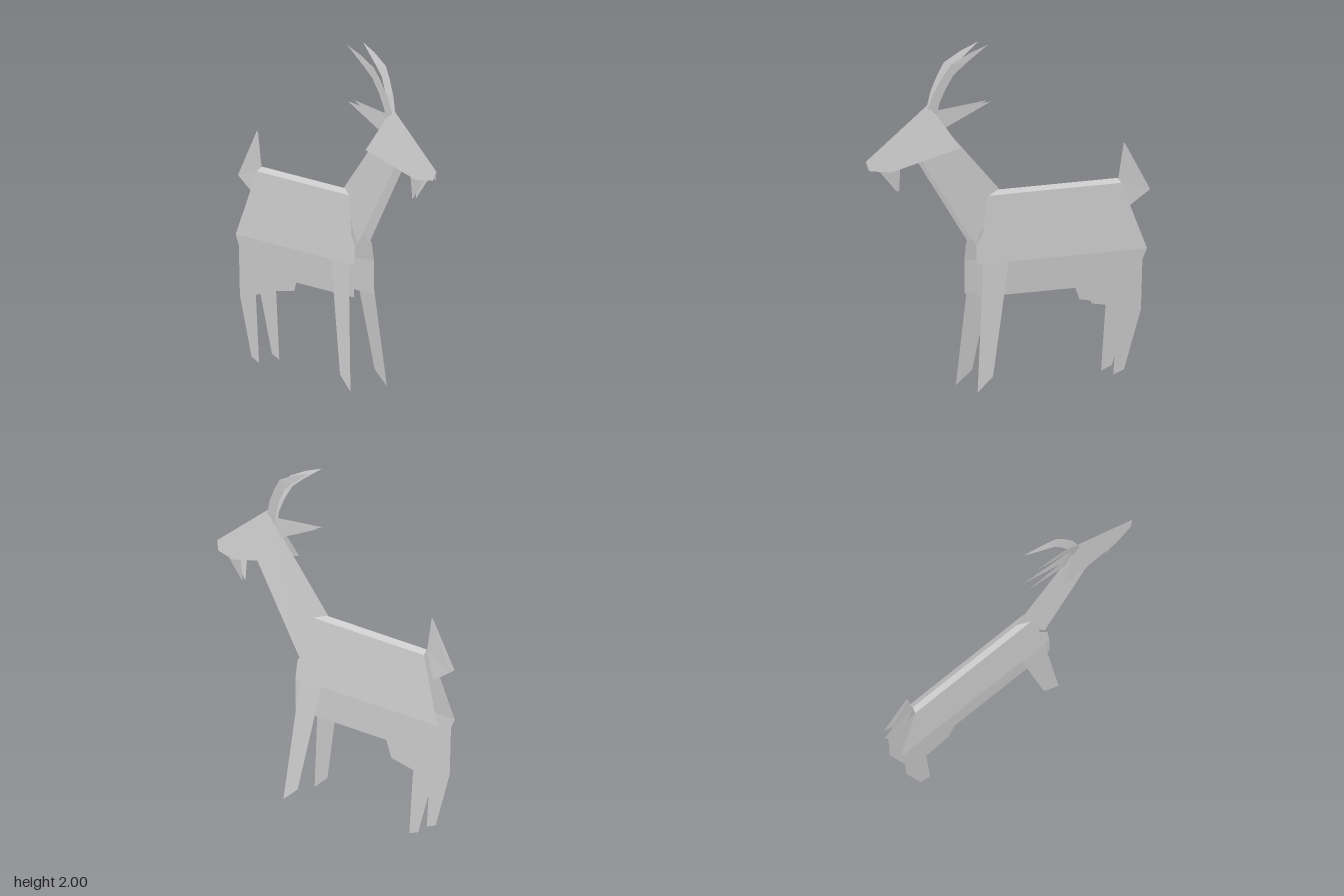
import * as THREE from 'three';

const paper = new THREE.MeshStandardMaterial({ color: 0xcccccc, side: THREE.DoubleSide, flatShading: true });
paper.name = 'plain paper';

// Flat paper panel: outline of [z, y] points, x given by a rule of (z, y, index)
function panel(outline, xRule, side) {
  const flat = outline.map(([z, y]) => new THREE.Vector2(z, y));
  const pos = [];
  for (const tri of THREE.ShapeUtils.triangulateShape(flat, [])) {
    const order = side > 0 ? [...tri].reverse() : tri;
    for (const i of order) {
      const [z, y] = outline[i];
      pos.push(side * xRule(z, y, i), y, z);
    }
  }
  const geo = new THREE.BufferGeometry();
  geo.setAttribute('position', new THREE.Float32BufferAttribute(pos, 3));
  geo.computeVertexNormals();
  return geo;
}

export function createModel() {
  const model = new THREE.Group();
  model.name = 'foldedPaperGoat';
  const sheet = new THREE.Group();
  sheet.name = 'foldedSheet';
  sheet.position.x = -0.012;
  model.add(sheet);

  function pair(name, outline, xRule) {
    for (const side of [-1, 1]) {
      const mesh = new THREE.Mesh(panel(outline, xRule, side), paper);
      mesh.name = (side > 0 ? 'left' : 'right') + name;
      sheet.add(mesh);
    }
  }

  // Body: narrow roof strip, sloping flank, upright lower flank with hind leg
  const flankX = (y) => 0.03 + ((1.115 - y) / 0.385) * 0.043;
  pair('BackStrip', [[0.06, 1.14], [-0.72, 1.14], [-0.725, 1.115], [0.14, 1.115]],
    (z, y) => (y > 1.13 ? 0 : 0.03));
  pair('Flank', [[0.14, 1.115], [-0.725, 1.115], [-0.87, 0.73], [0.24, 0.73], [0.235, 0.84], [0.19, 0.9]],
    (z, y) => flankX(y));
  pair('LowerFlankAndHindLeg', [
    [0.24, 0.73], [-0.87, 0.73], [-0.84, 0.67], [-0.83, 0.38], [-0.72, 0.04],
    [-0.65, 0.015], [-0.68, 0.41], [-0.51, 0.44], [-0.47, 0.54], [0.24, 0.54],
  ], () => 0.073);

  // Neck: tent with its ridge along the nape, open at the throat
  pair('Neck', [[0.47, 1.595], [0.05, 1.14], [0.23, 0.84], [0.58, 1.36], [0.6, 1.41]],
    (z, y, i) => [0, 0, 0.044, 0.034, 0.034][i]);

  // Head: tent folded along the line from brow to nose
  pair('Head', [[0.52, 1.67], [0.46, 1.6], [0.34, 1.415], [0.77, 1.305], [0.9, 1.32], [0.92, 1.375]],
    (z, y) => Math.max(0, 0.21 * (-0.594 * (z - 0.52) - 0.804 * (y - 1.67))));

  // Beard, ears and tail: small folded flaps
  pair('Beard', [[0.83, 1.315], [0.71, 1.32], [0.71, 1.18]], (z, y, i) => [0.012, 0.026, 0.012][i]);
  pair('Ear', [[0.47, 1.63], [0.12, 1.66], [0.41, 1.53]], (z, y, i) => [0.01, 0.024, 0.012][i]);
  pair('Tail', [[-0.72, 1.125], [-0.76, 1.345], [-0.92, 1.06], [-0.78, 0.97]],
    (z, y, i) => [0, 0.003, 0.018, 0.012][i]);

  // Horns: swept V-folds, outer edge to inner edge
  const outer = [[0.52, 1.65], [0.49, 1.74], [0.44, 1.83], [0.39, 1.9], [0.27, 1.96], [0.155, 2.0]];
  const inner = [[0.46, 1.62], [0.455, 1.67], [0.42, 1.755], [0.37, 1.84], [0.29, 1.905], [0.155, 2.0]];
  const spread = (y) => 0.006 + 0.052 * Math.pow(Math.max(0, (y - 1.6) / 0.4), 1.2);
  for (let i = 0; i < 5; i++) {
    const strip = [outer[i], outer[i + 1], inner[i + 1], inner[i]];
    if (i === 4) strip.splice(2, 1);
    for (const fold of [-1, 1]) {
      pair('HornFold', strip, (z, y, k) => {
        const isInner = k >= 2 && !(i === 4 && k === 1);
        return spread(y) + (isInner ? fold * 0.007 : 0);
      });
    }
  }

  // Front legs: flat flaps splayed outwards from the shoulders
  const legX = (y) => (y > 0.73
    ? flankX(y) + 0.005
    : 0.078 + ((0.73 - y) / 0.73) * 0.042);
  pair('ForelegShoulder', [[0.17, 1.02], [0, 0.89], [0.033, 0.73], [0.199, 0.73]], (z, y) => legX(y));
  pair('Foreleg', [[0.199, 0.73], [0.033, 0.73], [0.165, 0.085], [0.27, 0]], (z, y) => legX(y));
  // Left leg splays a little wider
  const leftLeg = sheet.children.find((m) => m.name === 'leftForeleg');
  const p = leftLeg.geometry.attributes.position;
  for (let i = 0; i < p.count; i++) p.setX(i, p.getX(i) + 0.022 * (0.73 - p.getY(i)) / 0.73);
  leftLeg.geometry.computeVertexNormals();

  return model;
}
